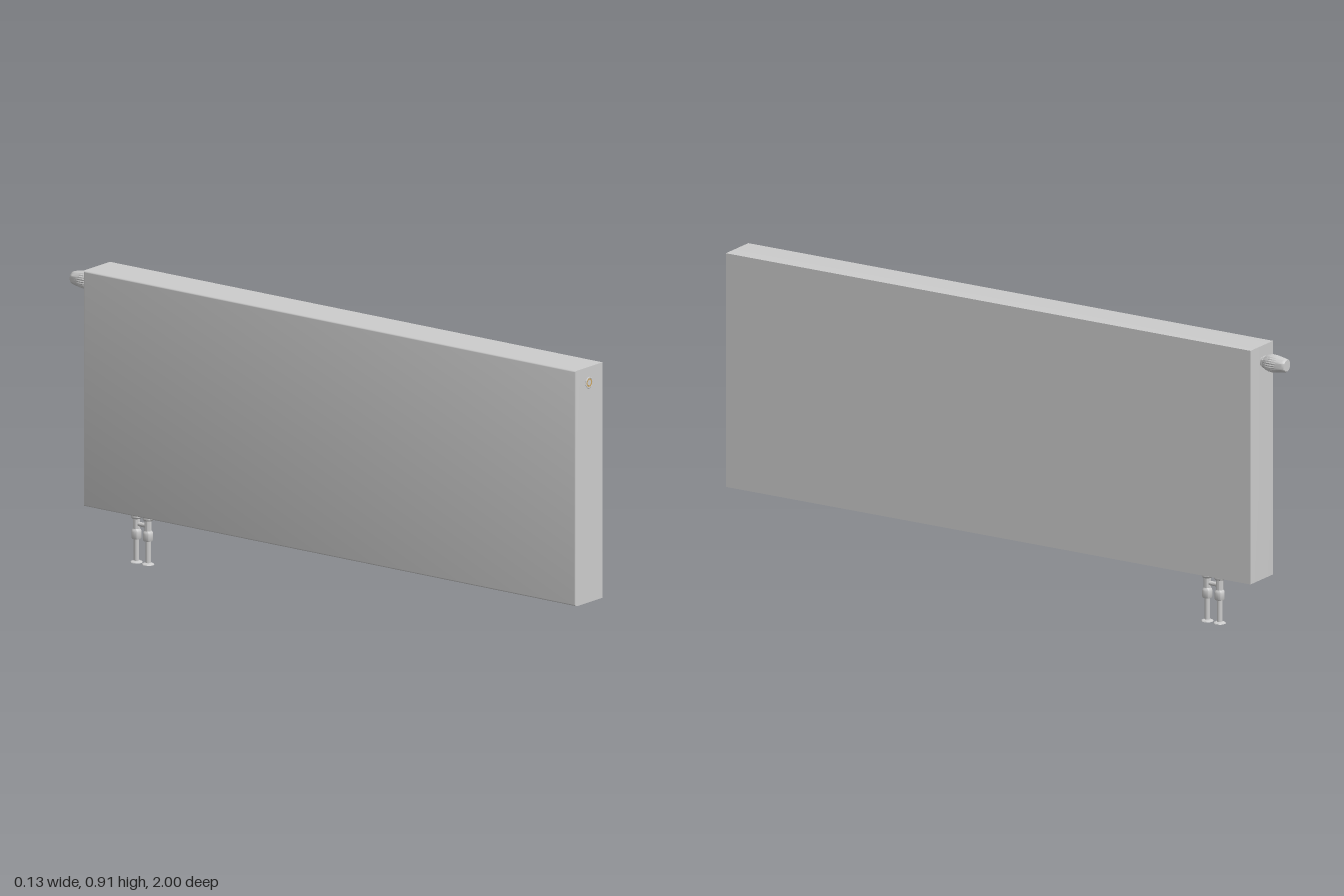
import * as THREE from 'three';
import { toCreasedNormals } from 'three/addons/utils/BufferGeometryUtils.js';

const grey = new THREE.MeshStandardMaterial({ color: 0xcccccc, side: THREE.DoubleSide });
const brass = new THREE.MeshStandardMaterial({ color: 0xc8a465, side: THREE.DoubleSide });

function add(parent, name, geometry, material = grey) {
  const mesh = new THREE.Mesh(toCreasedNormals(geometry, 0.6), material);
  mesh.name = name;
  parent.add(mesh);
  return mesh;
}

// Turned part from [radius, height] pairs
const turned = (points, sides = 32) =>
  new THREE.LatheGeometry(points.map(([r, h]) => new THREE.Vector2(r, h)), sides);

// Box panel whose -x face has a softly rounded rim
function panelGeometry(w, h, d, r) {
  const n = 5;
  const geo = new THREE.BoxGeometry(w, h, d, n + 1, 1, 1);
  const p = geo.attributes.position;
  for (let i = 0; i < p.count; i++) {
    const step = Math.round((p.getX(i) / w + 0.5) * (n + 1));
    if (step > n) continue;
    const a = (step / n) * Math.PI / 2;
    const inset = r * (1 - Math.sin(a));
    p.setXYZ(i, -w / 2 + r * (1 - Math.cos(a)),
      p.getY(i) - Math.sign(p.getY(i)) * inset,
      p.getZ(i) - Math.sign(p.getZ(i)) * inset);
  }
  return geo;
}

export function createModel() {
  const model = new THREE.Group();
  model.name = 'panelRadiator';

  // Heating panel
  add(model, 'panelBody', panelGeometry(0.133, 0.745, 1.908, 0.007)).position.set(0, 0.5375, 0.044);

  // Vent plug on the front end: collar, brass insert and hexagonal recess
  const plug = new THREE.Group();
  plug.name = 'ventPlug';
  plug.position.set(0, 0.86, 0.99);
  plug.rotation.x = Math.PI / 2;
  model.add(plug);
  add(plug, 'plugCollar', turned([[0.018, 0], [0.018, 0.009], [0.017, 0.01], [0.014, 0.01], [0.013, 0.008]]));
  add(plug, 'plugInsert', turned([[0.0135, 0.0085], [0.0135, 0.0095], [0.009, 0.0095], [0.009, 0.0085]]), brass);
  add(plug, 'plugCore', new THREE.CylinderGeometry(0.009, 0.009, 0.009, 6)).position.y = 0.0045;

  // Thermostat head on the back end
  const head = new THREE.Group();
  head.name = 'thermostat';
  head.position.set(0, 0.86, -0.908);
  head.rotation.x = -Math.PI / 2;
  model.add(head);
  add(head, 'thermostatStem', turned([[0.014, 0], [0.014, 0.012], [0, 0.012]]));
  add(head, 'thermostatCollar', turned([[0, 0.007], [0.016, 0.007], [0.019, 0.01], [0.019, 0.016], [0, 0.016]]));
  const knob = turned([[0, 0.014], [0.019, 0.014], [0.024, 0.022], [0.027, 0.032], [0.028, 0.042],
    [0.027, 0.054], [0.0245, 0.068], [0.022, 0.082], [0.02, 0.09], [0.018, 0.092], [0, 0.092]], 96);
  // Grip ribs around the wide part of the knob
  const kp = knob.attributes.position;
  for (let i = 0; i < kp.count; i++) {
    const x = kp.getX(i), z = kp.getZ(i), y = kp.getY(i);
    if (y < 0.02 || y > 0.06) continue;
    const s = 1 + 0.03 * (Math.cos(Math.atan2(z, x) * 24) - 1);
    kp.setXYZ(i, x * s, y, z * s);
  }
  knob.computeVertexNormals();
  add(head, 'thermostatKnob', knob);

  // Pair of supply pipes with valve fittings below the panel
  for (const [name, z] of [['supplyPipe', -0.71], ['returnPipe', -0.755]]) {
    const pipe = new THREE.Group();
    pipe.name = name;
    pipe.position.z = z;
    model.add(pipe);
    add(pipe, 'floorRosette', turned([[0, 0], [0.019, 0], [0.018, 0.002], [0.012, 0.005], [0.008, 0.006]]));
    add(pipe, 'pipe', turned([[0.0085, 0.002], [0.0085, 0.08]], 24));
    add(pipe, 'compressionNut', turned([[0, 0.075], [0.014, 0.075], [0.0155, 0.078], [0.0155, 0.098],
      [0.014, 0.103], [0.011, 0.107], [0, 0.107]]));
    add(pipe, 'valveNeck', turned([[0.011, 0.1], [0.011, 0.145]], 24));
    add(pipe, 'unionNut', turned([[0, 0.139], [0.014, 0.139], [0.0175, 0.144], [0.0175, 0.168], [0, 0.168]]));
  }

  // Bridge joining the two valves
  const bridge = add(model, 'valveBridge', new THREE.CylinderGeometry(0.007, 0.007, 0.045, 20));
  bridge.rotation.x = Math.PI / 2;
  bridge.position.set(0, 0.122, -0.7325);

  return model;
}
